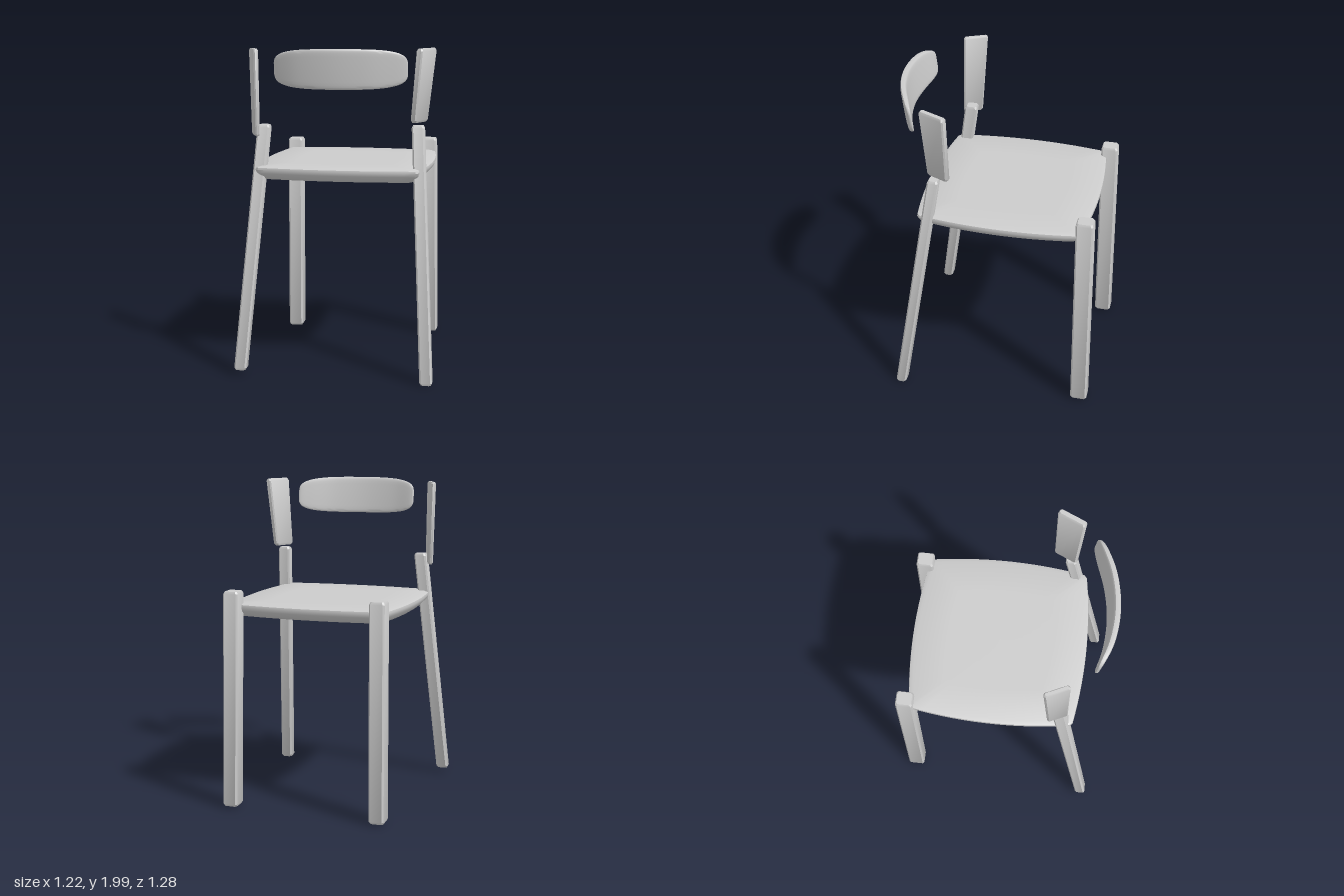
import * as THREE from 'three';
import { toCreasedNormals } from 'three/addons/utils/BufferGeometryUtils.js';

const material = new THREE.MeshStandardMaterial({ color: 0xcccccc });

// Skins a list of closed rings (equal point counts) and caps both ends.
function loft(name, rings, crease = 0.5) {
  const n = rings[0].length;
  const pos = [];
  const tri = (...pts) => pts.forEach((p) => pos.push(p.x, p.y, p.z));
  for (let i = 0; i < rings.length - 1; i++) {
    for (let j = 0; j < n; j++) {
      const k = (j + 1) % n;
      const a = rings[i][j], b = rings[i][k], c = rings[i + 1][k], d = rings[i + 1][j];
      tri(a, b, c);
      tri(a, c, d);
    }
  }
  const cap = (ring, flip) => {
    const mid = new THREE.Vector3();
    ring.forEach((p) => mid.addScaledVector(p, 1 / n));
    for (let j = 0; j < n; j++) {
      const p = ring[j], q = ring[(j + 1) % n];
      if (flip) tri(mid, q, p);
      else tri(mid, p, q);
    }
  };
  cap(rings[0], true);
  cap(rings[rings.length - 1], false);
  const geometry = new THREE.BufferGeometry();
  geometry.setAttribute('position', new THREE.Float32BufferAttribute(pos, 3));
  const mesh = new THREE.Mesh(toCreasedNormals(geometry, crease), material);
  mesh.name = name;
  return mesh;
}

// Horizontal rectangle with cut corners, turned about y.
function rect([x, y, z], w, d, turn, cut) {
  const a = w / 2, b = d / 2;
  const corners = [
    [a, b - cut], [a, cut - b], [a - cut, -b], [cut - a, -b],
    [-a, cut - b], [-a, b - cut], [cut - a, b], [a - cut, b],
  ];
  const s = Math.sin(turn), c = Math.cos(turn);
  return corners.map(([u, v]) => new THREE.Vector3(x + u * c + v * s, y, z - u * s + v * c));
}

// Bar between two centres with softened ends; sizes are [width, depth].
function bar(name, bottom, top, sizeBottom, sizeTop, turn = 0, cut = 0.01, bevel = 0.015) {
  const A = new THREE.Vector3(...bottom), B = new THREE.Vector3(...top);
  const f = bevel / (B.y - A.y);
  const rings = [[0, bevel], [f, 0], [1 - f, 0], [1, bevel]].map(([t, inset]) => {
    const p = A.clone().lerp(B, t);
    const w = THREE.MathUtils.lerp(sizeBottom[0], sizeTop[0], t) - inset;
    const d = THREE.MathUtils.lerp(sizeBottom[1], sizeTop[1], t) - inset;
    return rect(p.toArray(), w, d, turn, cut);
  });
  return loft(name, rings);
}

// Seat: a square with bulging sides and an edge that tapers underneath.
function seat() {
  const outline = [];
  const steps = 16;
  const bulge = (t) => 0.497 + 0.043 * (1 - t * t);
  for (let side = 0; side < 4; side++) {
    for (let i = 0; i < steps; i++) {
      const t = -0.97 + (1.94 * i) / (steps - 1);
      const u = bulge(t), v = -t * 0.497;
      const a = (side * Math.PI) / 2;
      outline.push([u * Math.cos(a) + v * Math.sin(a), v * Math.cos(a) - u * Math.sin(a)]);
    }
  }
  const profile = [[1.2, 0.9], [1.21, 0.93], [1.24, 0.985], [1.262, 1], [1.275, 0.995], [1.285, 0.95], [1.287, 0.6]];
  const rings = profile.map(([y, s]) =>
    outline.map(([x, z]) => new THREE.Vector3(x * s, y, -0.05 + z * s)));
  return loft('seat', rings, 0.6);
}

// Backrest: a leaning, curved pad with rounded ends.
function backrest() {
  const curve = new THREE.CatmullRomCurve3([
    [-0.35, 0.545], [-0.2, 0.592], [0, 0.606], [0.2, 0.572], [0.36, 0.51], [0.435, 0.475],
  ].map(([x, z]) => new THREE.Vector3(x, 0, z)));
  const rings = [];
  const steps = 40, sides = 24;
  for (let i = 0; i <= steps; i++) {
    const u = -Math.cos((Math.PI * i) / steps) * 0.9995;
    const p = curve.getPointAt((u + 1) / 2);
    const h = 0.118 * Math.pow(1 - Math.pow(Math.abs(u), 3.2), 0.25);
    const thick = 0.021 * Math.pow(1 - Math.pow(Math.abs(u), 4), 0.3);
    const ring = [];
    for (let j = 0; j < sides; j++) {
      const a = (2 * Math.PI * j) / sides;
      const soft = (v, e) => Math.sign(v) * Math.pow(Math.abs(v), e);
      const y = h * soft(Math.cos(a), 0.35);
      ring.push(new THREE.Vector3(p.x, 1.882 + y, p.z + y * 0.13 + thick * soft(Math.sin(a), 0.35)));
    }
    rings.push(ring);
  }
  return loft('backrest', rings, 0.7);
}

export function createModel() {
  const group = new THREE.Group();
  group.add(seat(), backrest());

  // Upright legs on the open side of the seat
  const square = [0.095, 0.105];
  group.add(bar('straightLegLeft', [0.476, 0.02, -0.583], [0.456, 1.362, -0.572], square, square));
  group.add(bar('straightLegRight', [-0.472, 0.015, -0.588], [-0.465, 1.345, -0.575], square, square));

  // Splayed legs carrying the back
  const slim = [0.076, 0.066];
  group.add(bar('splayedLegLeft', [0.572, 0.008, 0.58], [0.482, 1.54, 0.335], slim, slim));
  group.add(bar('splayedLegRight', [-0.572, 0.04, 0.575], [-0.46, 1.53, 0.345], slim, [0.076, 0.08]));

  // Flat side panels above the splayed legs
  group.add(bar('sidePanelLeft', [0.483, 1.555, 0.305], [0.527, 1.997, 0.317], [0.04, 0.148], [0.042, 0.18], -0.42, 0.008));
  group.add(bar('sidePanelRight', [-0.514, 1.462, 0.352], [-0.529, 1.99, 0.33], [0.028, 0.125], [0.03, 0.155], 0.44, 0.008, 0.012));

  return group;
}
